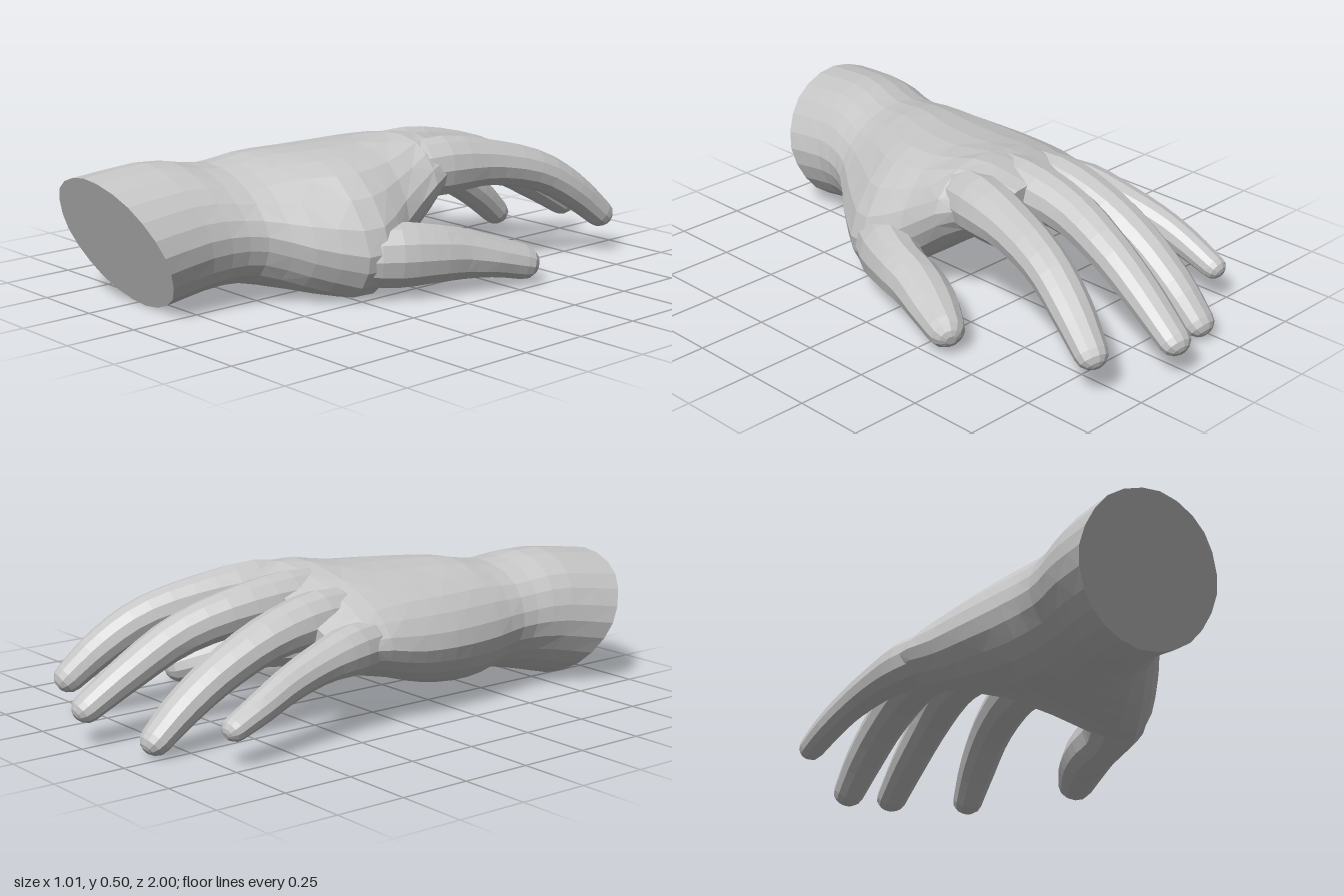
import * as THREE from 'three';

const V = (p) => new THREE.Vector3(...p);

// Skin rows of points (ordered from the wrist towards the fingertips) and cap both ends.
function loft(rows) {
  const n = rows[0].length, pos = [], idx = [];
  rows.forEach((r) => r.forEach((p) => pos.push(p.x, p.y, p.z)));
  for (let i = 0; i < rows.length - 1; i++) {
    for (let j = 0; j < n; j++) {
      const k = (j + 1) % n, a = i * n + j, b = i * n + k;
      // alternate the diagonals for a faceted skin
      if ((i + j) % 2) idx.push(a, b, b + n, a, b + n, a + n);
      else idx.push(a, b, a + n, b, b + n, a + n);
    }
  }
  const cap = (row, base, flip) => {
    const c = row.reduce((s, p) => s.add(p), new THREE.Vector3()).divideScalar(n);
    const ci = pos.length / 3;
    pos.push(c.x, c.y, c.z);
    for (let j = 0; j < n; j++) {
      const k = (j + 1) % n;
      idx.push(ci, base + (flip ? k : j), base + (flip ? j : k));
    }
  };
  cap(rows[0], 0, true);
  cap(rows[rows.length - 1], (rows.length - 1) * n, false);
  const g = new THREE.BufferGeometry();
  g.setAttribute('position', new THREE.Float32BufferAttribute(pos, 3));
  g.setIndex(idx);
  const flat = g.toNonIndexed();
  flat.computeVertexNormals();
  return flat;
}

// Tapered, bent finger with a rounded tip: stations are [x, y, z, halfWidth, halfHeight].
function fingerGeometry(stations, sides = 12, steps = 14) {
  const path = new THREE.CatmullRomCurve3(stations.map((s) => V(s.slice(0, 3))));
  const size = new THREE.CatmullRomCurve3(stations.map((s) => V([s[3], s[4], 0])));
  const rows = [];
  const ring = (c, t, w, h) => {
    const side = t.clone().cross(V([0, 1, 0])).normalize();
    const up = side.clone().cross(t);
    rows.push(Array.from({ length: sides }, (_, j) => {
      const a = (j / sides) * Math.PI * 2;
      return c.clone().addScaledVector(side, -Math.cos(a) * w).addScaledVector(up, Math.sin(a) * h);
    }));
  };
  for (let i = 0; i <= steps; i++) {
    const u = i / steps, s = size.getPoint(u);
    ring(path.getPoint(u), path.getTangent(u), s.x, s.y);
  }
  const end = path.getPoint(1), t = path.getTangent(1), s = size.getPoint(1);
  for (const a of [0.5, 0.95, 1.3]) {
    ring(end.clone().addScaledVector(t, s.y * Math.sin(a)), t, s.x * Math.cos(a), s.y * Math.cos(a));
  }
  return loft(rows);
}

// Eight control points of a slightly leaning elliptical arm section, sheared in z for the slanted cut.
function armSection(z, slope, x0, x1, y0, y1) {
  return Array.from({ length: 8 }, (_, k) => {
    const a = (k / 8) * Math.PI * 2;
    const x = (x0 + x1) / 2 - Math.cos(a) * (x1 - x0) / 2 - 0.03 * Math.sin(a);
    const y = (y0 + y1) / 2 + Math.sin(a) * (y1 - y0) / 2;
    return V([x, y, z + slope * y]);
  });
}

// Palm sections: z, then outline points from the little-finger edge over the back of the hand.
const PALM = [
  [0.40, [-0.44, 0.24], [-0.36, 0.40], [-0.15, 0.475], [0.08, 0.41], [0.235, 0.20], [0.16, 0.06], [-0.10, 0.03], [-0.34, 0.09]],
  [0.22, [-0.46, 0.24], [-0.37, 0.40], [-0.10, 0.48], [0.17, 0.42], [0.335, 0.17], [0.25, 0.015], [-0.05, 0.045], [-0.36, 0.105]],
  [0.05, [-0.465, 0.25], [-0.37, 0.40], [-0.08, 0.483], [0.17, 0.44], [0.275, 0.26], [0.20, 0.12], [-0.08, 0.13], [-0.37, 0.135]],
  [-0.13, [-0.46, 0.28], [-0.37, 0.385], [-0.10, 0.482], [0.14, 0.488], [0.25, 0.37], [0.17, 0.25], [-0.10, 0.225], [-0.37, 0.185]],
  [-0.29, [-0.43, 0.28], [-0.34, 0.34], [-0.12, 0.425], [0.07, 0.44], [0.17, 0.38], [0.07, 0.33], [-0.11, 0.30], [-0.33, 0.24]],
];

function palmGeometry(rowsCount = 17, sides = 24) {
  const sections = [
    armSection(0.81, 0.42, -0.5, 0.05, 0, 0.45),
    armSection(0.65, 0.18, -0.45, 0.07, 0.035, 0.475),
    armSection(0.54, 0.05, -0.42, 0.12, 0.05, 0.45),
    ...PALM.map(([z, ...pts]) => pts.map(([x, y]) => V([x, y, z]))),
  ];
  const rails = sections[0].map((_, k) => new THREE.CatmullRomCurve3(sections.map((s) => s[k])));
  const rows = [];
  for (let i = 0; i <= rowsCount; i++) {
    const outline = new THREE.CatmullRomCurve3(rails.map((r) => r.getPoint(i / rowsCount)), true);
    rows.push(Array.from({ length: sides }, (_, j) => outline.getPoint(j / sides)));
  }
  return loft(rows);
}

// Finger stations from inside the palm to the centre of the rounded tip.
const FINGERS = {
  indexFinger: [
    [0.10, 0.37, 0.03, 0.08, 0.08], [0.15, 0.385, -0.19, 0.10, 0.107], [0.197, 0.375, -0.40, 0.087, 0.082],
    [0.25, 0.325, -0.60, 0.078, 0.071], [0.29, 0.24, -0.74, 0.072, 0.064], [0.322, 0.145, -0.85, 0.058, 0.052],
  ],
  middleFinger: [
    [-0.06, 0.385, 0.02, 0.08, 0.08], [-0.055, 0.393, -0.20, 0.097, 0.098], [-0.04, 0.375, -0.43, 0.085, 0.081],
    [-0.003, 0.315, -0.63, 0.073, 0.071], [0.02, 0.215, -0.81, 0.067, 0.061], [0.04, 0.12, -0.955, 0.058, 0.048],
  ],
  ringFinger: [
    [-0.21, 0.34, 0.01, 0.08, 0.08], [-0.22, 0.355, -0.20, 0.096, 0.098], [-0.225, 0.325, -0.41, 0.087, 0.078],
    [-0.222, 0.243, -0.60, 0.076, 0.069], [-0.215, 0.145, -0.75, 0.07, 0.061], [-0.21, 0.054, -0.855, 0.058, 0.05],
  ],
  littleFinger: [
    [-0.345, 0.28, 0.0, 0.07, 0.075], [-0.382, 0.28, -0.19, 0.083, 0.087], [-0.408, 0.26, -0.35, 0.07, 0.067],
    [-0.433, 0.22, -0.50, 0.057, 0.058], [-0.449, 0.17, -0.62, 0.052, 0.051], [-0.454, 0.125, -0.72, 0.046, 0.042],
  ],
  thumb: [
    [0.17, 0.15, 0.32, 0.07, 0.08], [0.275, 0.145, 0.13, 0.105, 0.115], [0.333, 0.138, 0, 0.092, 0.102],
    [0.357, 0.124, -0.11, 0.093, 0.089], [0.395, 0.102, -0.22, 0.088, 0.072], [0.44, 0.075, -0.32, 0.067, 0.062],
  ],
};

export function createModel() {
  const model = new THREE.Group();
  model.name = 'hand';
  const skin = new THREE.MeshStandardMaterial({ color: 0xc6c6c6, flatShading: true });
  skin.name = 'plain grey';
  const add = (name, geometry) => {
    const mesh = new THREE.Mesh(geometry, skin);
    mesh.name = name;
    model.add(mesh);
  };
  add('wristAndPalm', palmGeometry());
  for (const [name, stations] of Object.entries(FINGERS)) add(name, fingerGeometry(stations));
  return model;
}
